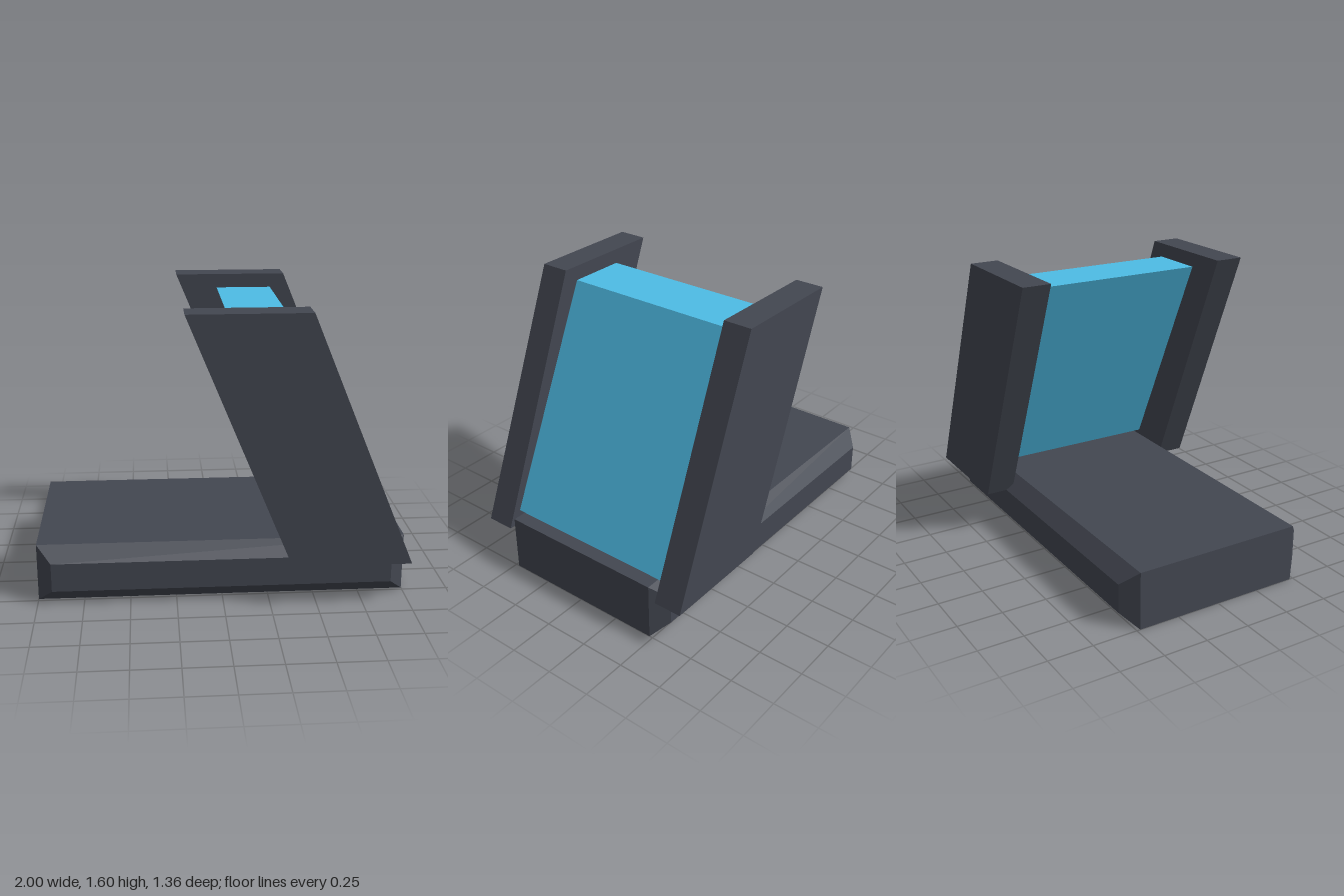
import * as THREE from 'three';

const darkGrey = new THREE.MeshStandardMaterial({ name: 'darkGrey', color: 0x434751 });
const skyBlue = new THREE.MeshStandardMaterial({ name: 'skyBlue', color: 0x4ebde6 });

// Slab whose outline lies in the x-y plane, centred on zMid
function slantedSlab(name, outline, zMid, depth, material) {
  const shape = new THREE.Shape(outline.map(([x, y]) => new THREE.Vector2(x, y)));
  const geometry = new THREE.ExtrudeGeometry(shape, { depth, bevelEnabled: false });
  geometry.translate(0, 0, zMid - depth / 2);
  const mesh = new THREE.Mesh(geometry, material);
  mesh.name = name;
  return mesh;
}

// Long block with its front and back sides chamfered all round
function chamferedBase() {
  const box = new THREE.BoxGeometry(2, 0.32, 1.12, 1, 1, 3);
  const p = box.attributes.position;
  for (let i = 0; i < p.count; i++) {
    const z = p.getZ(i);
    if (Math.abs(z) > 0.5) {
      p.setX(i, Math.sign(p.getX(i)) * 0.92);
      p.setY(i, Math.sign(p.getY(i)) * 0.08);
    } else {
      p.setZ(i, Math.sign(z) * 0.48);
    }
  }
  const geometry = box.toNonIndexed();
  geometry.computeVertexNormals();
  geometry.translate(0, 0.16, 0);
  const mesh = new THREE.Mesh(geometry, darkGrey);
  mesh.name = 'base';
  return mesh;
}

export function createModel() {
  const model = new THREE.Group();
  model.name = 'slantedStand';
  model.add(chamferedBase());

  // Leaning core between the side panels
  const core = [[0.6, 0.32], [0.92, 0.32], [0.36, 1.52], [0.04, 1.52]];
  model.add(slantedSlab('core', core, 0, 1.04, skyBlue));

  // Side panels, front and back
  const panel = [[0.36, 0.24], [1, 0.24], [0.44, 1.6], [-0.2, 1.6]];
  for (const side of [1, -1]) {
    const name = side > 0 ? 'frontPanel' : 'backPanel';
    model.add(slantedSlab(name, panel, side * 0.6, 0.16, darkGrey));
  }
  return model;
}
